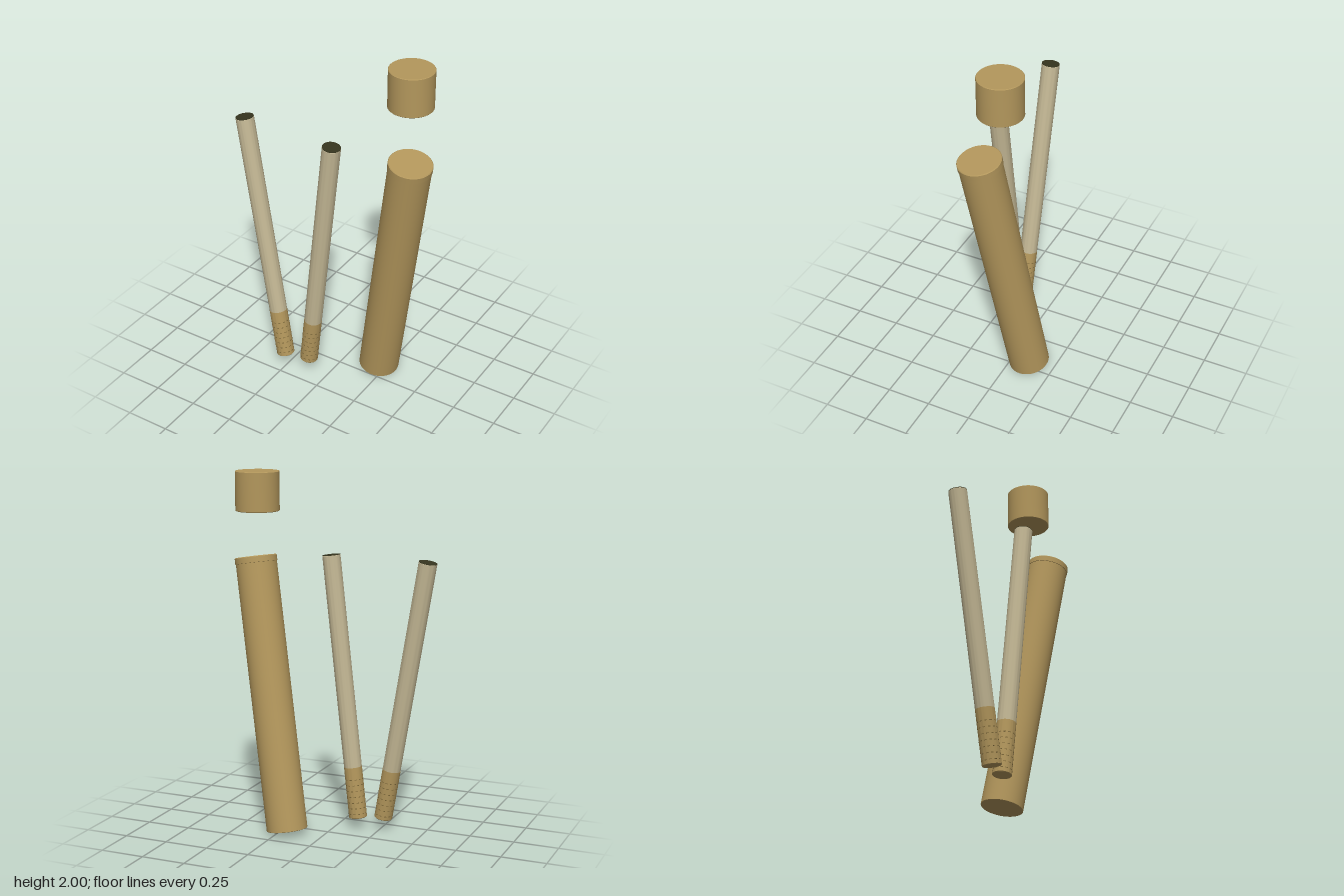
import * as THREE from 'three';
import { toCreasedNormals } from 'three/addons/utils/BufferGeometryUtils.js';

const material = (name, color) => {
  const m = new THREE.MeshStandardMaterial({ color });
  m.name = name;
  return m;
};

// Solid of revolution about y from [radius, height] pairs, listed bottom to top
function turned(name, profile, mat) {
  const points = profile.map(([r, y]) => new THREE.Vector2(r, y));
  const mesh = new THREE.Mesh(toCreasedNormals(new THREE.LatheGeometry(points, 48), 0.5), mat);
  mesh.name = name;
  return mesh;
}

// Group whose local y axis runs from the bottom centre to the top centre
function leaning(name, bottom, top) {
  const group = new THREE.Group();
  group.name = name;
  const axis = top.clone().sub(bottom);
  group.position.copy(bottom);
  group.quaternion.setFromUnitVectors(new THREE.Vector3(0, 1, 0), axis.clone().normalize());
  group.userData.length = axis.length();
  return group;
}

export function createModel() {
  const model = new THREE.Group();
  const tan = material('tan', 0xb3975c);
  const paper = material('paper', 0xc3b794);
  const dark = material('dark leaf', 0x36351f);
  const fleck = material('fleck brown', 0x7a6638);

  // Floating cap with softened rims
  const cap = turned('cap', [[0, 0], [0.117, 0], [0.12, 0.003], [0.12, 0.212], [0.117, 0.215], [0, 0.215]], tan);
  cap.position.set(0.395, 1.785, -0.042);
  model.add(cap);

  // Large leaning case with a slightly wider lip
  const holder = leaning('case', new THREE.Vector3(0.203, 0.023, -0.103), new THREE.Vector3(0.456, 1.522, 0.052));
  const len = holder.userData.length;
  holder.add(turned('caseBody', [[0, 0], [0.112, 0], [0.114, 0.002], [0.114, len - 0.035]], tan));
  holder.add(turned('caseLip',
    [[0.11, len - 0.037], [0.117, len - 0.035], [0.117, len - 0.004], [0.113, len], [0, len]], tan));
  model.add(holder);

  // Slim paper rods with a flecked tan end and a dark leaf end
  const addRod = (name, bottom, top) => {
    const rod = leaning(name, bottom, top);
    const l = rod.userData.length;
    const r = 0.05;
    const tip = 0.292;
    rod.add(turned('rodTip', [[0, 0], [r - 0.002, 0], [r + 0.0005, 0.003], [r + 0.0005, tip], [r - 0.001, tip]], tan));
    rod.add(turned('rodPaper', [[r, tip], [r, l - 0.002], [r - 0.002, l]], paper));
    rod.add(turned('leafEnd', [[r - 0.001, l - 0.004], [r - 0.001, l + 0.002], [0, l + 0.002]], dark));

    // Rows of short dashes around the tip
    const rows = 7, perRow = 12;
    const dash = new THREE.BoxGeometry(0.012, 0.004, 0.002);
    const flecks = new THREE.Group();
    flecks.name = 'tipFlecks';
    for (let i = 0; i < rows; i++) {
      for (let j = 0; j < perRow; j++) {
        const a = ((j + (i % 2) * 0.5) / perRow) * Math.PI * 2;
        const mark = new THREE.Mesh(dash, fleck);
        mark.name = 'fleck';
        mark.position.set(Math.sin(a) * r, 0.025 + i * 0.033, Math.cos(a) * r);
        mark.rotation.y = a;
        flecks.add(mark);
      }
    }
    rod.add(flecks);
    model.add(rod);
  };
  addRod('outerRod', new THREE.Vector3(-0.268, 0.072, 0.163), new THREE.Vector3(-0.525, 1.533, 0.12));
  addRod('innerRod', new THREE.Vector3(-0.13, 0.068, 0.128), new THREE.Vector3(0.046, 1.538, 0.155));

  return model;
}
